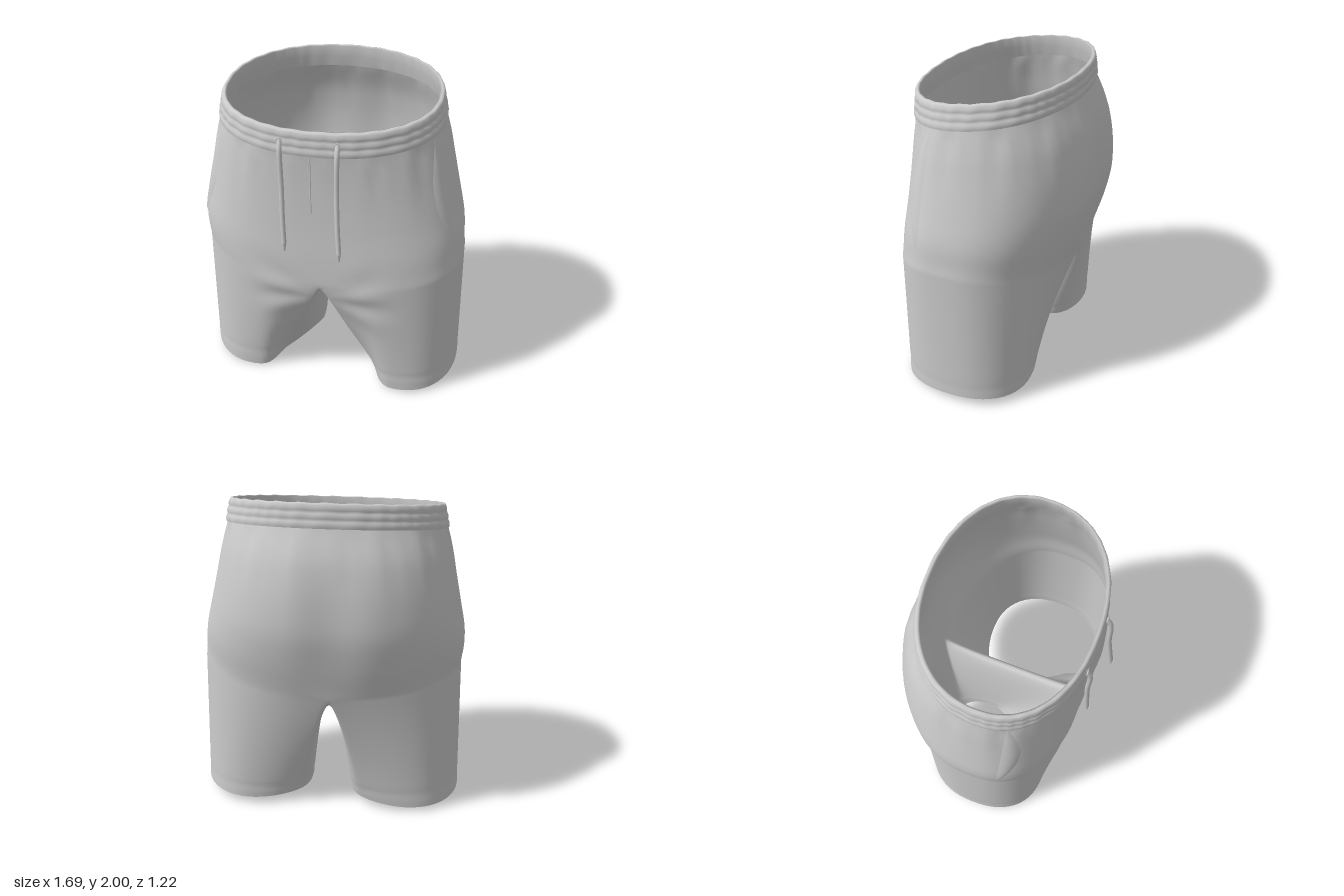
import * as THREE from 'three';
import { mergeGeometries, mergeVertices } from 'three/addons/utils/BufferGeometryUtils.js';

const { sin, cos, abs, sign, pow, min, max, exp, PI, atan2 } = Math;
const M = 48; // columns per half of the body
const V = (x, y, z) => new THREE.Vector3(x, y, z);
const material = new THREE.MeshStandardMaterial({ color: 0xcccccc, side: THREE.DoubleSide, roughness: 0.9 });

// Skin rows of points; rows run upward, columns run from the front towards +x
function loft(rows, closed, flip = false) {
  const n = rows[0].length, index = [];
  for (let i = 0; i < rows.length - 1; i++) {
    for (let j = 0; j < (closed ? n : n - 1); j++) {
      const a = i * n + j, b = i * n + (j + 1) % n, c = a + n, d = b + n;
      if (flip) index.push(a, c, b, b, c, d);
      else index.push(a, b, c, b, d, c);
    }
  }
  const g = new THREE.BufferGeometry().setFromPoints(rows.flat());
  g.setIndex(index);
  g.computeVertexNormals();
  return g;
}

// Oval seen from above: half width a, front and back reach, squareness of each half
function oval(th, a, zf, zb, nf, nb, zc = 0.03) {
  const c = cos(th), s = sin(th), p = 2 / (c > 0 ? nf : nb);
  return [a * sign(s) * pow(abs(s), p), zc + (c > 0 ? zf - zc : zc - zb) * sign(c) * pow(abs(c), p)];
}

// Waist tilts up to the back; the yoke, where the legs split off, dips at the centre
const waistY = (x, z) => 1.785 - 0.148 * z + 0.02 * x;
const yokeY = (th) => 0.95 - 0.11 * cos(th) ** 2;

// Hip profile from yoke to waist: half width, front z, back z
const hips = new THREE.CatmullRomCurve3([
  V(0.826, 0.515, -0.51), V(0.824, 0.512, -0.573), V(0.79, 0.504, -0.616),
  V(0.753, 0.5, -0.612), V(0.717, 0.5, -0.575), V(0.675, 0.505, -0.49),
]);

function torsoPoint(th, v, out = 0) {
  const h = hips.getPoint(v);
  let [x, z] = oval(th, h.x + out, h.y + out, h.z - out, 2.8 - 0.6 * v, 2.3 - 0.2 * v);
  z += 0.035 * x * (1 - v);
  // centre-back cleft
  if (z < 0) z += 0.035 * exp(-((x / 0.13) ** 2)) * sin(PI * v);
  x -= 0.028 * pow(v, 0.4);
  return V(x, yokeY(th) + v * (waistY(x, z) - yokeY(th)), z);
}

function torso() {
  const rows = [];
  for (let i = 0; i <= 30; i++) {
    const row = [];
    for (let j = 0; j < 2 * M; j++) row.push(torsoPoint(j * PI / M, i / 30));
    rows.push(row);
  }
  return loft(rows, true);
}

// Crotch seam in the centre plane, from back (s = 0) to front (s = 1)
function crotchPoint(s) {
  const end = torsoPoint(s > 0.5 ? 0 : PI, 0), c = abs(cos(PI * s)), p = s > 0.5 ? 0.65 : 0.72;
  return V(0, end.y - (end.y - 0.72) * pow(sin(PI * s), p), end.z * pow(c, p));
}

// Leg: lofted from the hem oval up to the hip outline plus the crotch seam
function leg(side) {
  const K = 28, strands = [];
  for (let j = 0; j < M + K; j++) {
    const s = (j - M) / K;
    const top = j <= M ? torsoPoint(side * j * PI / M, 0) : crotchPoint(s);
    const phi = j <= M ? -PI / 4 + 1.5 * PI * j / M : PI * (1.25 + 0.5 * s);
    const zc = side > 0 ? 0.05 : 0, c = cos(phi), inner = max(0, -sin(phi));
    // the inner front of the hem runs almost straight, the inner back is full
    const [hx, hz] = oval(phi, 0.36, zc + 0.41, zc - 0.405, 2.3 - 1.1 * min(1, 1.6 * inner), 2.25 + 0.3 * inner, zc);
    const hy = 0.045 + 0.025 * inner - (c > 0 ? 0.045 : 0.015) * c * c + (side > 0 ? 0.015 : 0);
    strands.push({
      top, hem: V(side * (0.485 + hx), hy, hz - 0.09 * inner ** 3),
      ex: 1 - 0.5 * inner * inner, ez: c > 0 ? 1 + 0.7 * c : 1 + 0.1 * c,
    });
  }
  const rows = [];
  for (let i = 0; i <= 40; i++) {
    const t = pow(1 - i / 40, 1.25);
    rows.push(strands.map(({ top, hem, ex, ez }) => V(
      top.x + (hem.x - top.x) * pow(t, ex),
      top.y + (hem.y - top.y) * t,
      top.z + (hem.z - top.z) * pow(t, ez))));
  }
  return loft(rows, true, side < 0);
}

// Smooth the cloth without shrinking it, keeping waist and hems in place
function relax(g, passes) {
  const pos = g.attributes.position, index = g.index.array, n = pos.count;
  const near = Array.from({ length: n }, () => new Set());
  for (let i = 0; i < index.length; i += 3) {
    for (let k = 0; k < 3; k++) {
      near[index[i + k]].add(index[i + (k + 1) % 3]).add(index[i + (k + 2) % 3]);
    }
  }
  let points = Array.from({ length: n }, (_, i) => new THREE.Vector3().fromBufferAttribute(pos, i));
  for (let pass = 0; pass < passes; pass++) {
    const step = pass % 2 ? -0.44 : 0.5;
    points = points.map((p, i) => {
      if (p.y < 0.1 || p.y > waistY(p.x, p.z) - 0.02) return p;
      const mean = V(0, 0, 0);
      near[i].forEach((k) => mean.add(points[k]));
      return p.clone().lerp(mean.divideScalar(near[i].size), step);
    });
  }
  points.forEach((p, i) => pos.setXYZ(i, p.x, p.y, p.z));
}

// Fine cloth detail: gathers below the waist, folds at the crotch, hem stitching
function addFolds(g) {
  const pos = g.attributes.position;
  for (let i = 0; i < pos.count; i++) {
    let x = pos.getX(i), z = pos.getZ(i);
    const y = pos.getY(i), th = atan2(x, z);
    const drop = waistY(x, z) - y;
    const gather = 1 + 0.012 * exp(-((drop / 0.3) ** 2)) * min(1, drop / 0.06) * sin(th * 23) * sin(th * 7 + 1);
    x *= gather;
    z *= gather;
    const r = Math.hypot(x, y - 0.72), a = atan2(y - 0.72, abs(x));
    const fan = exp(-(((r - 0.3) / 0.13) ** 2)) * exp(-((a / 0.8) ** 2)) * min(1, max(0, (z - 0.2) / 0.2));
    z += 0.008 * fan * cos(a * 9 - 2);
    const stitch = 1 - 0.006 * exp(-(((y - 0.125) / 0.014) ** 2)), cx = sign(x) * 0.485;
    pos.setXYZ(i, cx + (x - cx) * stitch, y, z * stitch);
  }
}

// Elastic waistband: rippled outside, rounded rim, plain inside
function waistband() {
  const rows = [], N = 160, profile = [];
  for (let k = 0; k <= 18; k++) profile.push([k / 18, 0.007 + 0.005 * abs(sin(PI * 3 * k / 18))]);
  profile.push([1.03, -0.004], [1.0, -0.016], [0.5, -0.018], [0, -0.013]);
  for (const [h, out] of profile) {
    const row = [];
    for (let j = 0; j < N; j++) {
      const th = j * 2 * PI / N;
      const o = out + 0.003 * sin(th * 37 + 3 * sin(th * 5)) * sin(PI * min(h, 1));
      const [x, z] = oval(th, 0.675 - 0.03 * h + o, 0.507 - 0.008 * h + o, -0.487 + 0.018 * h - o, 2.2, 2.15);
      row.push(V(x - 0.028, waistY(x, z) + 0.14 * h - 0.004 + 0.002 * sin(th * 29) * h, z));
    }
    rows.push(row);
  }
  return loft(rows, true);
}

// Pocket: slightly gaping panel with a curved front edge
function pocket(side) {
  const rows = [];
  for (let i = 0; i <= 24; i++) {
    const v = 0.15 + 0.83 * i / 24, row = [], arch = sin(PI * i / 24);
    for (let j = 0; j <= 8; j++) {
      const w = j / 8;
      const th = 1.18 + 0.08 * (1 - v) + w * 0.02 - (1 - w) * 0.21 * arch;
      row.push(torsoPoint(side * th, v, 0.002 + 0.014 * arch * sin(PI * (0.15 + 0.75 * w))));
    }
    rows.push(row);
  }
  return loft(rows, false, side < 0);
}

const tube = (points, radius) => new THREE.TubeGeometry(new THREE.CatmullRomCurve3(points), 30, radius, 8);

export function createModel() {
  const model = new THREE.Group();
  model.name = 'shorts';
  const add = (geometry, name) => {
    const mesh = new THREE.Mesh(geometry, material);
    mesh.name = name;
    model.add(mesh);
    return mesh;
  };

  // Hips and both legs welded into one smooth cloth
  const parts = [torso(), leg(1), leg(-1)];
  parts.forEach((g) => g.deleteAttribute('normal'));
  const cloth = mergeVertices(mergeGeometries(parts), 1e-5);
  relax(cloth, 24);
  addFolds(cloth);
  cloth.computeVertexNormals();
  add(cloth, 'body');

  add(waistband(), 'waistband');
  add(pocket(1), 'leftPocket');
  add(pocket(-1), 'rightPocket');

  // Fly seam
  const seam = [];
  for (let i = 0; i <= 6; i++) seam.push(torsoPoint(-0.02, 0.56 + 0.42 * i / 6).setX(-0.05));
  add(tube(seam, 0.004), 'flySeam');

  // Drawstrings with eyelets and tips
  const cords = {
    left: [V(0.11, 1.79, 0.505), V(0.113, 1.74, 0.535), V(0.115, 1.5, 0.555), V(0.125, 1.3, 0.58), V(0.138, 1.14, 0.6)],
    right: [V(-0.22, 1.79, 0.505), V(-0.215, 1.74, 0.53), V(-0.21, 1.5, 0.535), V(-0.207, 1.3, 0.548), V(-0.2, 1.14, 0.56)],
  };
  for (const [name, path] of Object.entries(cords)) {
    add(tube(path, 0.015), name + 'Drawstring');
    const end = path[4];
    const tip = add(new THREE.CylinderGeometry(0.014, 0.006, 0.055, 10), name + 'DrawstringTip');
    tip.position.set(end.x, end.y - 0.025, end.z + 0.002);
    const eyelet = add(new THREE.TorusGeometry(0.014, 0.004, 8, 20), name + 'Eyelet');
    eyelet.position.set(path[0].x, path[0].y, 0.516);
  }
  return model;
}
